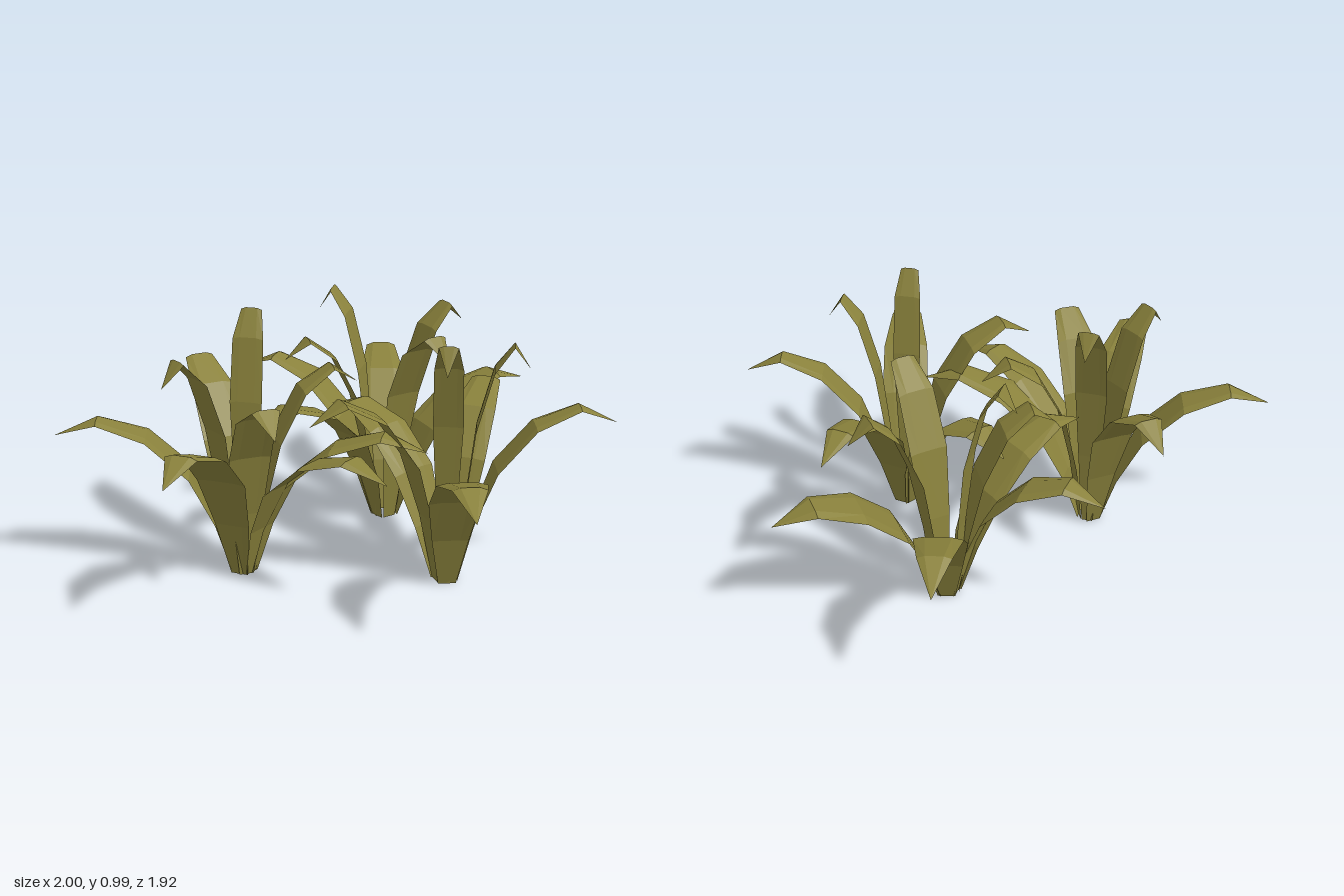
import * as THREE from 'three';

const leafGreen = new THREE.MeshStandardMaterial({ color: 0x8a823c, flatShading: true, side: THREE.DoubleSide });
leafGreen.name = 'oliveLeaf';

// Shared arch: fraction of reach, fraction of peak height, fraction of width
const ARCH = [
  [0, 0, 0.36], [0.09, 0.34, 0.72], [0.23, 0.66, 1],
  [0.47, 0.9, 0.95], [0.75, 1, 0.64], [1, 0.9, 0],
];
// Cross-section: flat middle with slightly drooping edges
const ACROSS = [[-0.5, 0.12], [-0.27, 0], [0.27, 0], [0.5, 0.12]];
const BASE_RADIUS = 0.042;

// One arching blade, from cross-sections along the arch
function leaf([tipX, tipZ, peak, width], cx, cz) {
  const dx = tipX - cx, dz = tipZ - cz;
  const reach = Math.hypot(dx, dz);
  const ux = dx / reach, uz = dz / reach;
  const pos = [], index = [];
  const n = ACROSS.length;
  ARCH.forEach(([fr, fy, fw], i) => {
    const r = BASE_RADIUS + (reach - BASE_RADIUS) * fr;
    const w = width * fw;
    for (const [s, droop] of ACROSS) {
      pos.push(ux * r - uz * s * w, peak * fy - droop * w * fr, uz * r + ux * s * w);
    }
    if (i === ARCH.length - 1) return;
    for (let k = 0; k < n - 1; k++) {
      const p = i * n + k;
      index.push(p, p + 1, p + n, p + 1, p + n + 1, p + n);
    }
  });
  const g = new THREE.BufferGeometry();
  g.setAttribute('position', new THREE.Float32BufferAttribute(pos, 3));
  g.setIndex(index);
  g.computeVertexNormals();
  return new THREE.Mesh(g, leafGreen);
}

// Each leaf: tip x, tip z, peak height, width
const PLANTS = [
  {
    name: 'leftPlant', x: -0.353, z: 0.318,
    leaves: [
      [-1.0, 0.54, 0.63, 0.17], [-0.374, 0.96, 0.67, 0.19], [0.29, 0.575, 0.6, 0.18],
      [0.36, 0.27, 0.61, 0.19], [-0.73, -0.104, 0.745, 0.17], [-0.07, 0.7, 0.79, 0.16],
      [0.03, 0.06, 0.8, 0.15], [-0.53, 0.596, 0.905, 0.13], [-0.374, 0.06, 0.99, 0.125],
    ],
  },
  {
    name: 'backPlant', x: 0.027, z: -0.33,
    leaves: [
      [-0.176, -0.965, 0.585, 0.19], [0.51, -0.78, 0.56, 0.22], [-0.594, -0.366, 0.65, 0.18],
      [-0.32, 0.22, 0.6, 0.2], [-0.316, -0.094, 0.8, 0.15], [0.36, -0.03, 0.87, 0.15],
      [0.28, -0.6, 0.88, 0.15], [-0.246, -0.318, 0.97, 0.14],
    ],
  },
  {
    name: 'rightPlant', x: 0.41, z: 0.168,
    leaves: [
      [0.995, -0.04, 0.695, 0.14], [0.45, -0.49, 0.65, 0.18], [0.65, 0.8, 0.61, 0.19],
      [-0.14, -0.15, 0.6, 0.2], [-0.01, 0.52, 0.78, 0.17],
      [0.69, 0.11, 0.945, 0.11], [0.45, 0.4, 0.99, 0.11],
    ],
  },
];

export function createModel() {
  const model = new THREE.Group();
  model.name = 'leafyPlants';
  for (const p of PLANTS) {
    const plant = new THREE.Group();
    plant.name = p.name;
    plant.position.set(p.x, 0, p.z);
    p.leaves.forEach((spec, i) => {
      const blade = leaf(spec, p.x, p.z);
      blade.name = `leaf${i + 1}`;
      plant.add(blade);
    });
    model.add(plant);
  }
  return model;
}
